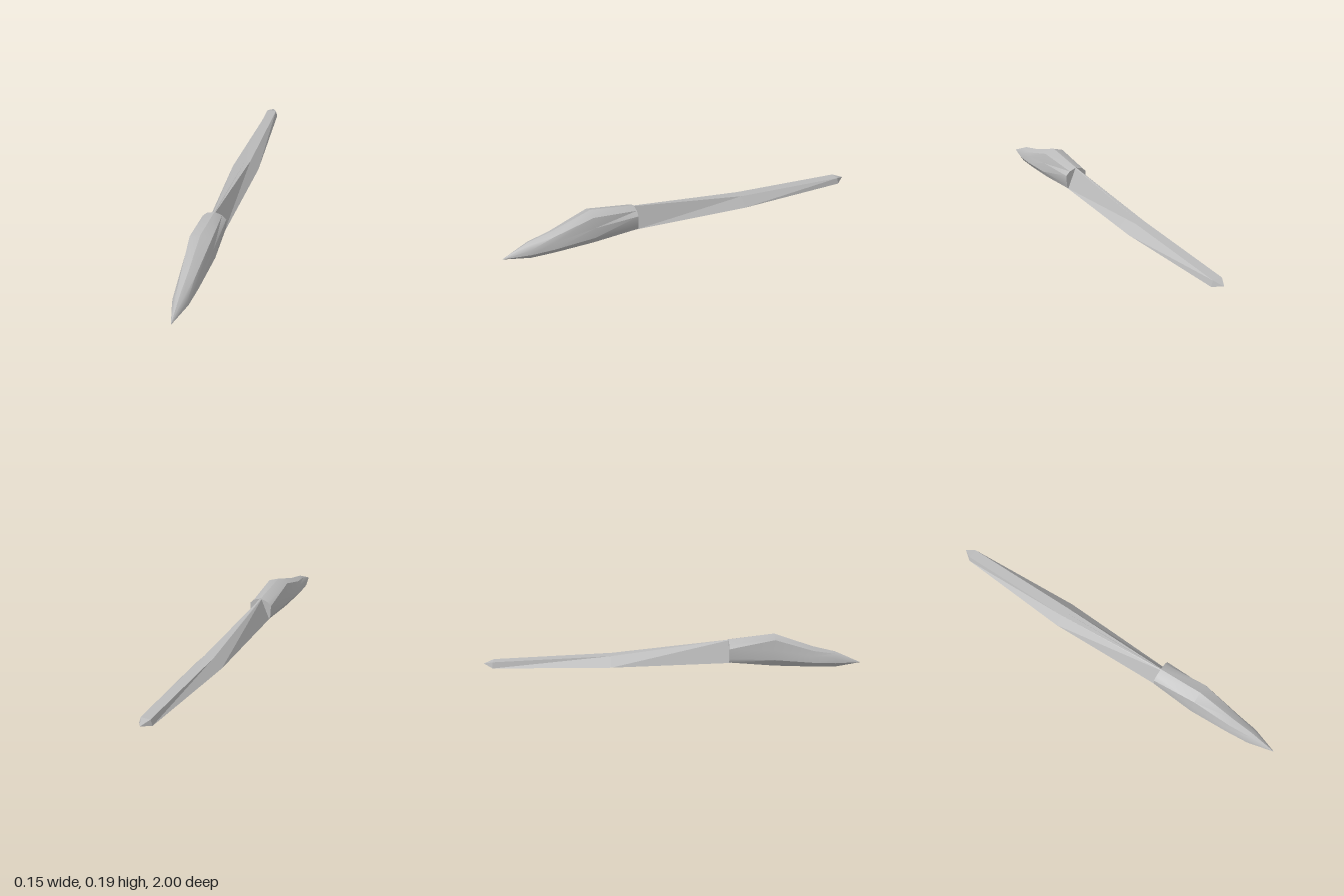
import * as THREE from 'three';
import { toCreasedNormals } from 'three/addons/utils/BufferGeometryUtils.js';

// Skin mirrored cross-sections, ordered front to back.
// Each section is { z, half: [[x, y], ...] } running from the top down the +x side.
function loft(sections, creaseAngle) {
  const rings = sections.map(({ z, half }) => {
    const mirrored = half.slice(1, -1).reverse().map(([x, y]) => [-x, y]);
    return [...half, ...mirrored].map(([x, y]) => new THREE.Vector3(x, y, z));
  });
  const positions = [];
  const triangle = (a, b, c) => {
    const area = b.clone().sub(a).cross(c.clone().sub(a)).length();
    if (area < 1e-9) return; // collapsed at a tip
    for (const p of [a, b, c]) positions.push(p.x, p.y, p.z);
  };
  const count = rings[0].length;
  for (let r = 0; r < rings.length - 1; r++) {
    for (let i = 0; i < count; i++) {
      const j = (i + 1) % count;
      triangle(rings[r][i], rings[r][j], rings[r + 1][i]);
      triangle(rings[r][j], rings[r + 1][j], rings[r + 1][i]);
    }
  }
  // Close both ends
  const first = rings[0];
  const last = rings[rings.length - 1];
  for (let i = 1; i < count - 1; i++) {
    triangle(first[0], first[i + 1], first[i]);
    triangle(last[0], last[i], last[i + 1]);
  }
  const geometry = new THREE.BufferGeometry();
  geometry.setAttribute('position', new THREE.Float32BufferAttribute(positions, 3));
  return toCreasedNormals(geometry, creaseAngle);
}

const tip = (z, y, points) => ({ z, half: Array.from({ length: points }, () => [0, y]) });

export function createModel() {
  const model = new THREE.Group();
  model.name = 'fuselage';
  const grey = new THREE.MeshStandardMaterial({ color: 0xbbbbbb });
  grey.name = 'light grey';

  // Rounded cabin with a pointed nose and a raised, broad-shouldered roof
  const cabin = new THREE.Mesh(loft([
    tip(1, 0.026, 6),
    { z: 0.86, half: [[0, 0.09], [0.02, 0.082], [0.036, 0.06], [0.04, 0.036], [0.025, 0.013], [0, 0.002]] },
    { z: 0.74, half: [[0, 0.12], [0.036, 0.105], [0.047, 0.08], [0.054, 0.045], [0.034, 0.017], [0, 0.006]] },
    { z: 0.53, half: [[0, 0.194], [0.055, 0.175], [0.065, 0.12], [0.073, 0.07], [0.045, 0.03], [0, 0.018]] },
    { z: 0.29, half: [[0, 0.165], [0.04, 0.152], [0.062, 0.13], [0.06, 0.075], [0.054, 0.054], [0, 0.05]] },
  ], 0.6), grey);
  cabin.name = 'cabin';

  // Faceted tail boom: a ridge that opens into a flat-topped beam, then a blunt tip
  const boom = new THREE.Mesh(loft([
    { z: 0.3, half: [[0, 0.165], [0.004, 0.163], [0.052, 0.051], [0, 0.051]] },
    { z: -0.33, half: [[0, 0.09], [0.027, 0.09], [0.073, 0.042], [0, 0.042]] },
    { z: -0.95, half: [[0, 0.065], [0.026, 0.065], [0.035, 0.034], [0, 0.034]] },
    tip(-1, 0.05, 4),
  ], 0.1), grey);
  boom.name = 'tailBoom';

  model.add(cabin, boom);
  // Rest the keel on the ground
  model.children.forEach((part) => { part.position.y = -0.002; });
  return model;
}
